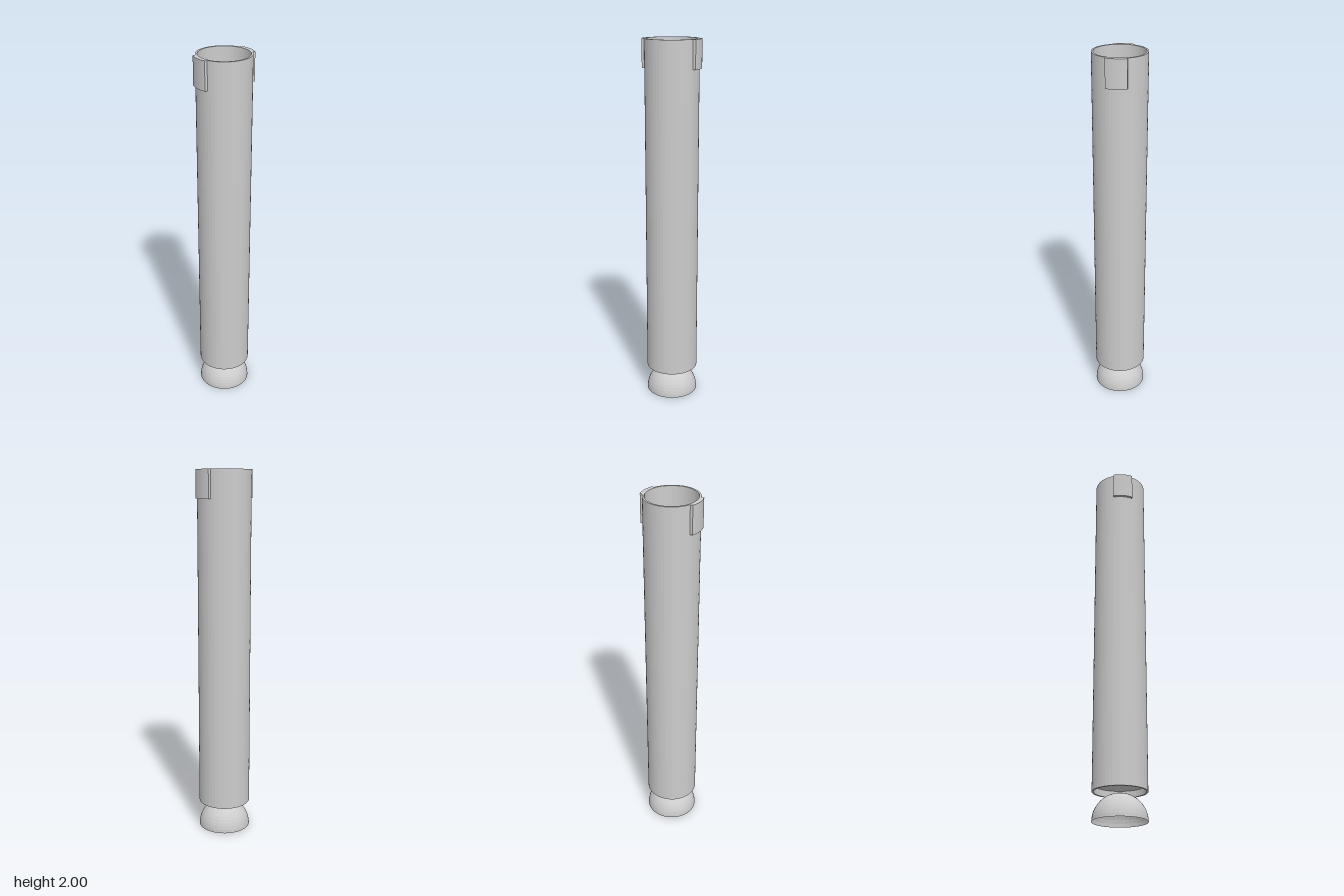
import * as THREE from 'three';

export function createModel() {
  const model = new THREE.Group();
  const grey = new THREE.MeshStandardMaterial({ color: 0xcccccc, flatShading: true, side: THREE.DoubleSide });
  grey.name = 'light grey';

  const outer = 0.143, inner = 0.133, bottom = 0.15, top = 2;
  const add = (name, geometry) => {
    const mesh = new THREE.Mesh(geometry, grey);
    mesh.name = name;
    model.add(mesh);
    return mesh;
  };

  // Long hollow tube, with a floor recessed just above its lower rim
  const profile = [
    [0, 0.185], [inner, 0.185], [inner, bottom], [outer, bottom],
    [outer, top], [inner, top], [inner, 0.195], [0, 0.195],
  ].map(([r, y]) => new THREE.Vector2(r, y));
  add('tube', new THREE.LatheGeometry(profile, 48));

  // Open hemispherical shell under the tube
  add('domeFoot', new THREE.SphereGeometry(0.143, 40, 12, 0, Math.PI * 2, 0, Math.PI / 2));

  // Curved tabs through the wall on both sides of the upper rim
  const tabOuter = 0.156, tabInner = 0.132, halfWidth = 0.055;
  const a = Math.asin(halfWidth / tabOuter), b = Math.asin(halfWidth / tabInner);
  const section = new THREE.Shape();
  section.absarc(0, 0, tabOuter, -a, a, false);
  section.absarc(0, 0, tabInner, b, -b, true);
  section.closePath();
  for (const [name, turn] of [['leftTab', 0], ['rightTab', Math.PI]]) {
    const geometry = new THREE.ExtrudeGeometry(section, { depth: 0.15, bevelEnabled: false, curveSegments: 8 });
    geometry.rotateX(-Math.PI / 2).rotateY(turn).translate(0, top - 0.15, 0);
    add(name, geometry);
  }

  return model;
}
